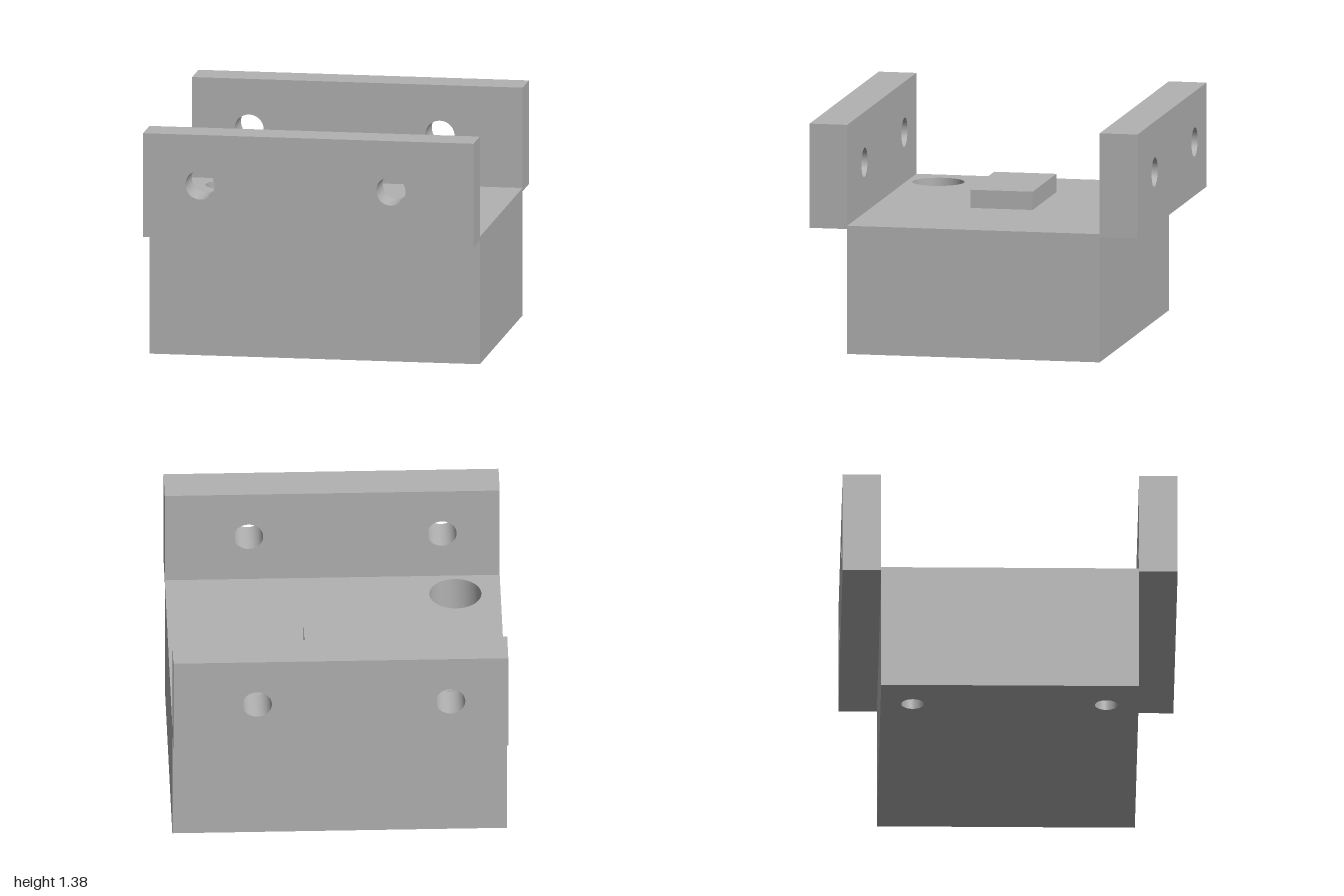
import * as THREE from 'three';
import { toCreasedNormals } from 'three/addons/utils/BufferGeometryUtils.js';

// Rectangular slab with round through holes, extruded along +z
function drilledSlab(x0, y0, x1, y1, depth, holes, radius) {
  const shape = new THREE.Shape();
  shape.moveTo(x0, y0);
  shape.lineTo(x1, y0);
  shape.lineTo(x1, y1);
  shape.lineTo(x0, y1);
  shape.closePath();
  for (const [x, y] of holes) {
    shape.holes.push(new THREE.Path().absarc(x, y, radius, 0, Math.PI * 2, true));
  }
  const geometry = new THREE.ExtrudeGeometry(shape, { depth, bevelEnabled: false, curveSegments: 48 });
  return toCreasedNormals(geometry, 0.6);
}

export function createModel() {
  const model = new THREE.Group();
  model.name = 'mountingBracket';
  const grey = new THREE.MeshStandardMaterial({ color: 0xb2b2b2 });
  grey.name = 'grey';

  function add(name, geometry, x = 0, y = 0, z = 0) {
    const mesh = new THREE.Mesh(geometry, grey);
    mesh.name = name;
    mesh.position.set(x, y, z);
    model.add(mesh);
  }

  const halfDepth = 0.77, blockTop = 0.775, boreFloor = 0.39;
  const boltHoles = [[-0.73, 0.578], [-0.73, -0.578]];

  // Base block in two layers: narrow bolt holes below, wide counterbores above
  const layer = (height, radius) =>
    drilledSlab(-1, -halfDepth, 1, halfDepth, height, boltHoles, radius).rotateX(-Math.PI / 2);
  add('blockLower', layer(boreFloor, 0.068));
  add('blockUpper', layer(blockTop - boreFloor, 0.155), 0, boreFloor, 0);

  // Raised pad on top of the block
  add('pad', new THREE.BoxGeometry(0.69, 0.11, 0.38), -0.155, blockTop + 0.055, 0);

  // Upright flanges along the front and back edges, with cross holes
  const crossHoles = [[-0.655, 1.08], [0.5, 1.08]];
  const flange = drilledSlab(-1, 0.755, 1, 1.385, 1 - halfDepth, crossHoles, 0.088);
  add('frontFlange', flange, 0, 0, halfDepth);
  add('backFlange', flange, 0, 0, -1);

  return model;
}
